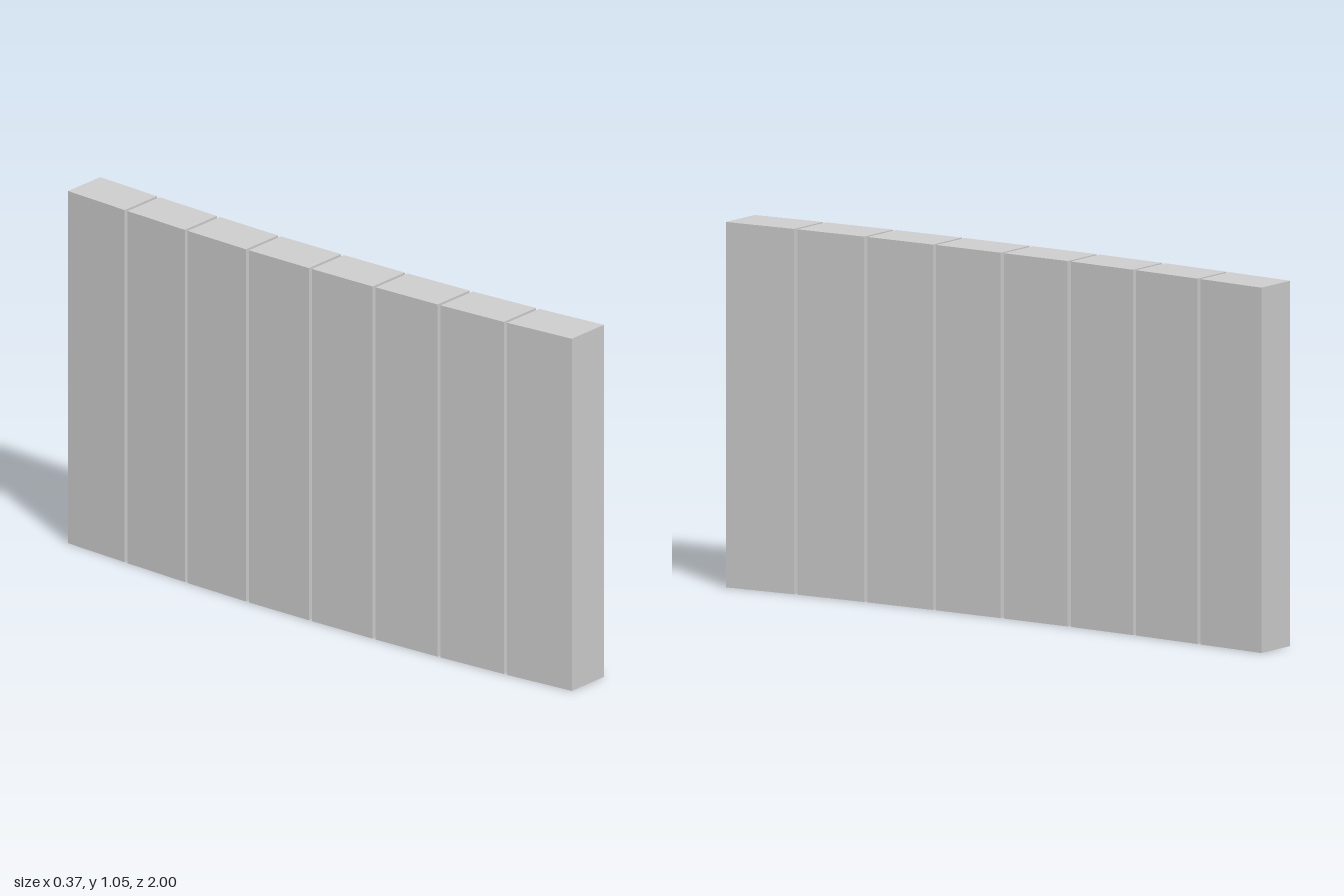
import * as THREE from 'three';

const HEIGHT = 1.05;
const DEPTH = 0.16;   // wall thickness along x
const SKEW = 0.01;    // end faces lean slightly toward the back
const GAP = 0.012;    // joint between neighbouring panels

// x of the outer (left-hand) wall face at each joint, back to front
const JOINT_X = [0.024, -0.02, -0.061, -0.097, -0.125, -0.149, -0.168, -0.18, -0.185];

export function createModel() {
  const group = new THREE.Group();
  group.name = 'curvedPanelWall';
  const grey = new THREE.MeshStandardMaterial({ color: 0xcccccc });
  grey.name = 'concrete grey';

  const count = JOINT_X.length - 1;
  const length = (2 - SKEW + GAP) / count;

  for (let i = 0; i < count; i++) {
    const z0 = -1 + SKEW + i * length;
    const z1 = z0 + length - GAP;
    const x0 = JOINT_X[i];
    const x1 = THREE.MathUtils.lerp(x0, JOINT_X[i + 1], 1 - GAP / length);

    // Plan outline drawn in (x, -z), then stood upright
    const plan = new THREE.Shape([
      new THREE.Vector2(x0, -z0),
      new THREE.Vector2(x1, -z1),
      new THREE.Vector2(x1 + DEPTH, -z1 + SKEW),
      new THREE.Vector2(x0 + DEPTH, -z0 + SKEW),
    ]);
    const geometry = new THREE.ExtrudeGeometry(plan, { depth: HEIGHT, bevelEnabled: false });
    geometry.rotateX(-Math.PI / 2);

    const panel = new THREE.Mesh(geometry, grey);
    panel.name = `wallPanel${i + 1}`;
    group.add(panel);
  }
  return group;
}
